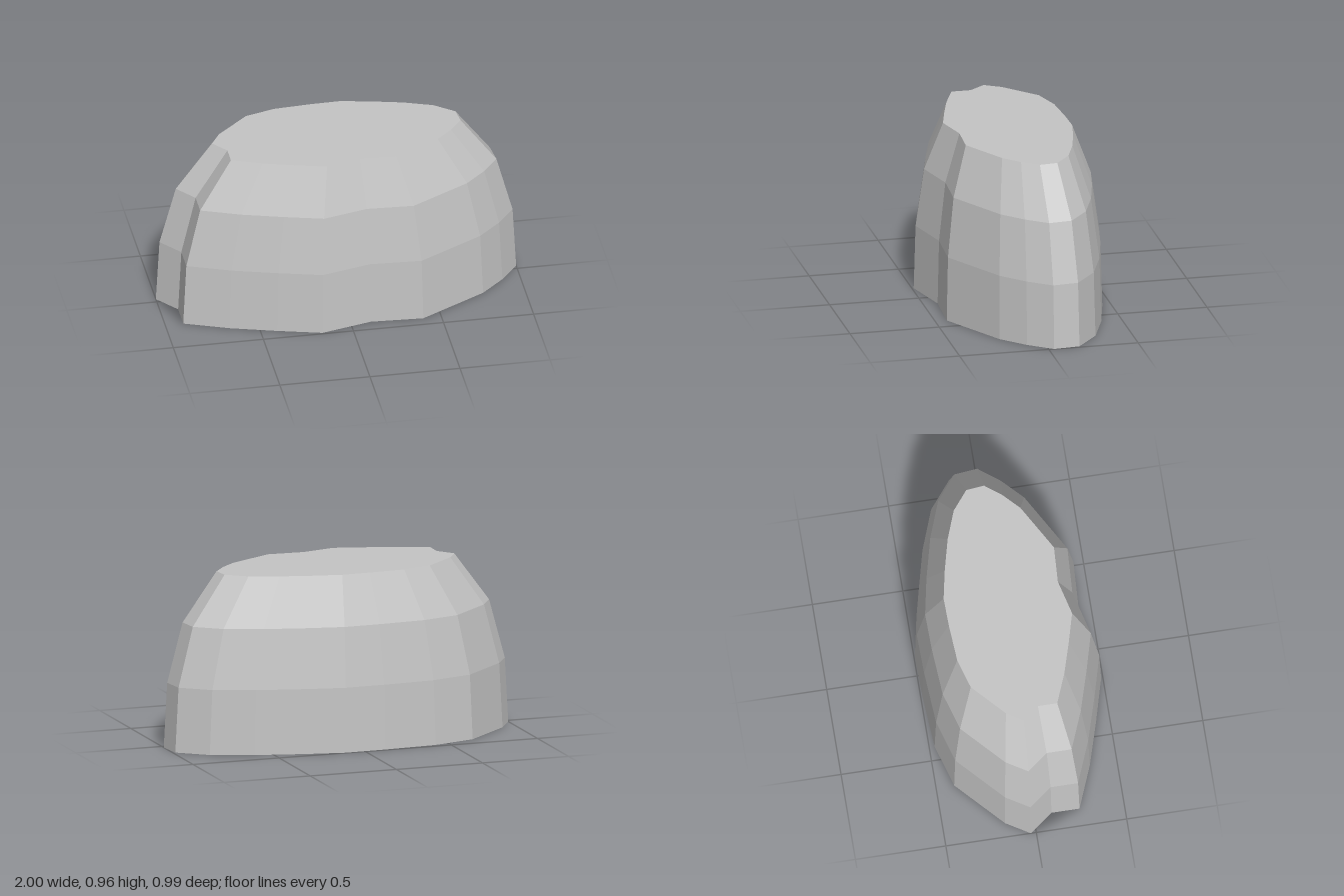
import * as THREE from 'three';

// Footprint outline (x, z), from the -x tip round the back to the front
const outline = [
  [-1, -0.03], [-0.92, -0.16], [-0.66, -0.4], [-0.42, -0.47], [-0.12, -0.49],
  [0.11, -0.495], [0.34, -0.45], [0.6, -0.385], [0.83, -0.3], [0.985, -0.175],
  [1, -0.03], [0.9, 0.1], [0.77, 0.225], [0.4, 0.435], [0.11, 0.42],
  [-0.17, 0.49], [-0.41, 0.425], [-0.66, 0.35], [-0.9, 0.255],
  [-0.9, 0.1], // inner corner of the notch
];

// Rings of the body: height and scale of the footprint
const rings = [[0, 1], [0.36, 0.98], [0.69, 0.89], [0.96, 0.69]];

// Faceted side wall lofted through the rings
function wallGeometry() {
  const n = outline.length;
  const positions = [], indices = [];
  for (const [y, s] of rings) {
    for (const [x, z] of outline) positions.push(x * s, y, z * s);
  }
  for (let r = 0; r < rings.length - 1; r++) {
    for (let i = 0; i < n; i++) {
      const a = r * n + i, b = r * n + (i + 1) % n;
      indices.push(a, a + n, b, b, a + n, b + n);
    }
  }
  const indexed = new THREE.BufferGeometry();
  indexed.setAttribute('position', new THREE.Float32BufferAttribute(positions, 3));
  indexed.setIndex(indices);
  const geometry = indexed.toNonIndexed();
  geometry.computeVertexNormals();
  return geometry;
}

// Flat cap facing up (side = 1) or down (side = -1)
function capGeometry(points, scale, y, side) {
  const shape = new THREE.Shape(points.map(([x, z]) => new THREE.Vector2(x * scale, -side * z * scale)));
  return new THREE.ShapeGeometry(shape).rotateX(-side * Math.PI / 2).translate(0, y, 0);
}

export function createModel() {
  const stone = new THREE.MeshStandardMaterial({ color: 0xc4c4c4, flatShading: true });
  stone.name = 'stone grey';

  const group = new THREE.Group();
  group.name = 'rock';
  const add = (name, geometry) => {
    const mesh = new THREE.Mesh(geometry, stone);
    mesh.name = name;
    group.add(mesh);
  };

  const [topY, topScale] = rings[rings.length - 1];
  add('rockWall', wallGeometry());
  add('rockTop', capGeometry(outline, topScale, topY, 1));
  // The base runs straight across the notch
  add('rockBase', capGeometry(outline.slice(0, -1), 1, 0, -1));
  return group;
}
